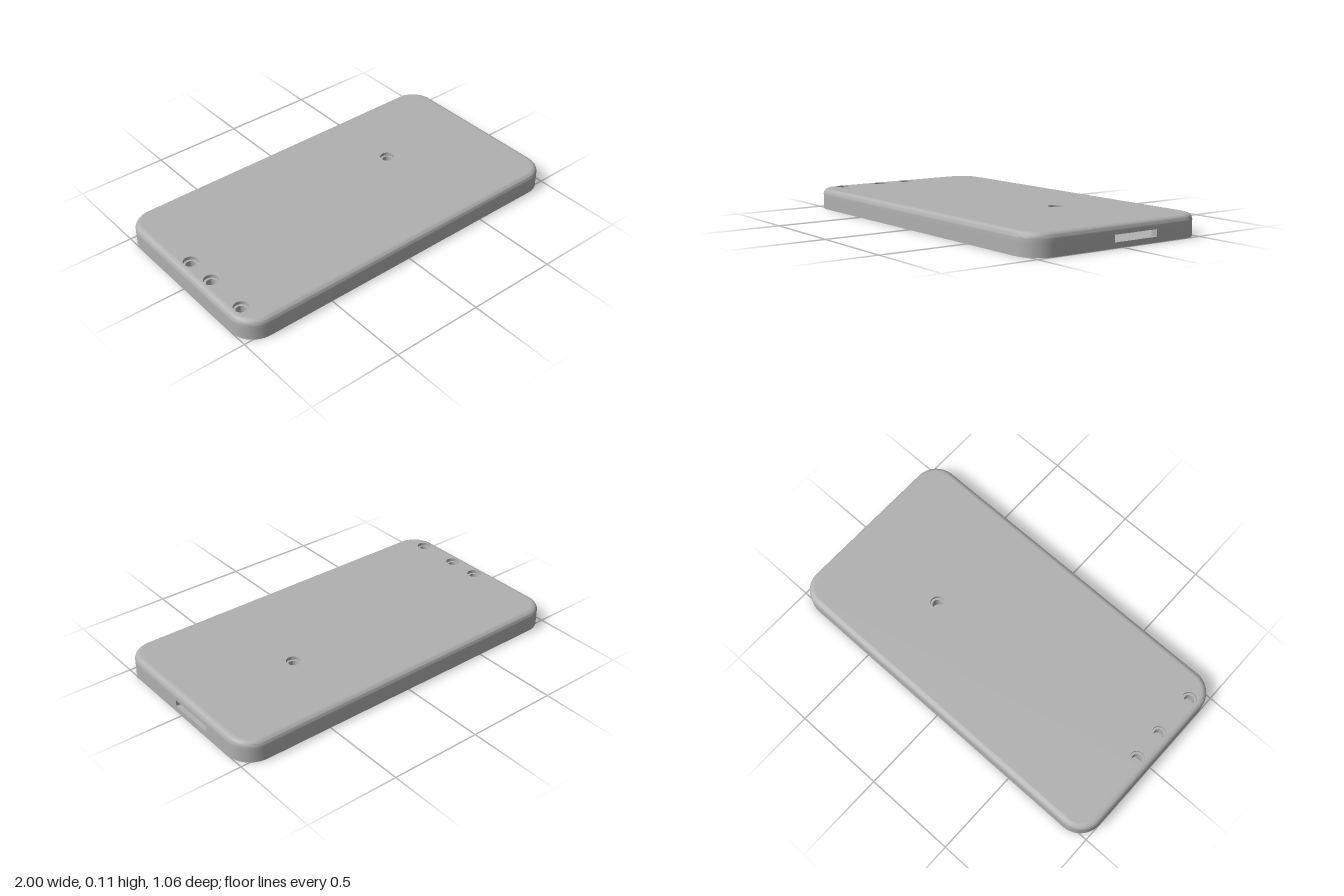
import * as THREE from 'three';
import { toCreasedNormals } from 'three/addons/utils/BufferGeometryUtils.js';

const HX = 1, HZ = 0.528, R = 0.13, TOP = 0.113, FILLET = 0.03;
const CEIL = 0.088, RECESS = 0.094;
const SLOT = { z0: -0.215, z1: 0.05, y0: 0.028, y1: 0.064 };
const SCREWS = [[-0.93, -0.035], [-0.93, 0.14], [-0.93, 0.385], [0.395, -0.095]];

// Rounded rectangle as [x, z] points; the last two are the slot ends on the +x side
function outline(inset) {
  const pts = [], r = R - inset, steps = 12;
  [[1, 1], [-1, 1], [-1, -1], [1, -1]].forEach(([sx, sz], k) => {
    for (let i = 0; i <= steps; i++) {
      const a = (k + i / steps) * Math.PI / 2;
      pts.push([sx * (HX - R) + r * Math.cos(a), sz * (HZ - R) + r * Math.sin(a)]);
    }
  });
  pts.push([HX - inset, SLOT.z0], [HX - inset, SLOT.z1]);
  return pts;
}

// Wall swept round the outline: fillet, outside, rim, stepped lip, inside
function wallGeometry() {
  const profile = [];
  for (let i = 0; i <= 6; i++) {
    const a = i / 6 * Math.PI / 2;
    profile.push([FILLET * (1 - Math.sin(a)), TOP - FILLET * (1 - Math.cos(a))]);
  }
  const outer = profile.length;
  profile.push([0, SLOT.y1], [0, SLOT.y0], [0, 0], [0.018, 0], [0.018, 0.022], [0.036, 0.022]);
  const inner = profile.length;
  profile.push([0.036, SLOT.y0], [0.036, SLOT.y1], [0.036, RECESS]);

  const rings = profile.map(([inset, y]) => outline(inset).map(([x, z]) => [x, y, z]));
  const n = rings[0].length, s = n - 2, e = n - 1, pos = [];
  const quad = (a, b, c, d) => pos.push(...a, ...b, ...c, ...b, ...d, ...c);
  for (let j = 0; j < rings.length - 1; j++) {
    for (let i = 0; i < n; i++) {
      if (i === s && (j === outer || j === inner)) continue;
      const k = (i + 1) % n;
      quad(rings[j][i], rings[j][k], rings[j + 1][i], rings[j + 1][k]);
    }
  }
  // Sides of the port slot
  const oT = rings[outer], oB = rings[outer + 1], iB = rings[inner], iT = rings[inner + 1];
  quad(oT[s], oT[e], iT[s], iT[e]);
  quad(iB[s], iB[e], oB[s], oB[e]);
  quad(oB[s], oT[s], iB[s], iT[s]);
  quad(oT[e], oB[e], iT[e], iB[e]);

  const g = new THREE.BufferGeometry();
  g.setAttribute('position', new THREE.Float32BufferAttribute(pos, 3));
  return toCreasedNormals(g, 0.6);
}

// Flat outline with screw holes; flip is -1 for faces turned up, 1 for faces turned down
function panelShape(inset, holeRadius, flip) {
  const shape = new THREE.Shape(outline(inset).map(([x, z]) => new THREE.Vector2(x, z * flip)));
  for (const [x, z] of SCREWS) {
    shape.holes.push(new THREE.Path().absarc(x, z * flip, holeRadius, 0, Math.PI * 2, true));
  }
  return shape;
}

function rectHole(x0, x1, z0, z1) {
  return new THREE.Path([[x0, z0], [x0, z1], [x1, z1], [x1, z0]].map(p => new THREE.Vector2(...p)));
}

export function createModel() {
  const group = new THREE.Group();
  const grey = new THREE.MeshStandardMaterial({ color: 0xb0b0b0 });
  grey.name = 'casing grey';
  const add = (name, geometry, x = 0, y = 0, z = 0) => {
    const mesh = new THREE.Mesh(geometry, grey);
    mesh.name = name;
    mesh.position.set(x, y, z);
    group.add(mesh);
    return mesh;
  };

  add('wall', wallGeometry());
  add('outerPanel', new THREE.ShapeGeometry(panelShape(FILLET, 0.038, -1), 32).rotateX(-Math.PI / 2), 0, TOP);

  // Inner face with shallow recesses, and the floor of those recesses
  const inside = panelShape(0.034, 0.026, 1);
  inside.holes.push(rectHole(-0.87, 0.3, -0.12, 0.45), rectHole(-0.87, -0.79, -0.4, -0.17));
  add('innerPanel', new THREE.ExtrudeGeometry(inside, { depth: RECESS - CEIL, bevelEnabled: false, curveSegments: 32 })
    .rotateX(Math.PI / 2), 0, RECESS);
  add('recessFloor', new THREE.ShapeGeometry(panelShape(0.034, 0.026, 1), 32).rotateX(Math.PI / 2), 0, RECESS - 0.0005);

  // Counterbored screw bosses
  const bossProfile = [[0.038, TOP], [0.038, 0.095], [0.026, 0.095], [0.026, 0.033], [0.04, 0.033], [0.04, 0.09]]
    .map(p => new THREE.Vector2(...p));
  const boss = toCreasedNormals(new THREE.LatheGeometry(bossProfile, 32), 0.6);
  SCREWS.forEach(([x, z]) => add('screwBoss', boss, x, 0, z));

  // Locating pins
  const pin = new THREE.CylinderGeometry(0.015, 0.015, 0.056, 20);
  [[0.75, -0.205], [0.53, -0.205], [0.85, 0.08]].forEach(([x, z]) => add('locatingPin', pin, x, 0.062, z));
  const stud = new THREE.CylinderGeometry(0.02, 0.02, 0.03, 20);
  [[-0.36, -0.4], [-0.73, -0.4]].forEach(([x, z]) => add('sideStud', stud, x, 0.076, z));

  // Row of small teeth beside the large recess
  const tooth = new THREE.BoxGeometry(0.018, 0.005, 0.008);
  for (let i = 0; i < 24; i++) add('tooth', tooth, 0.06 - i * 0.036, CEIL - 0.001, -0.15);

  return group;
}
